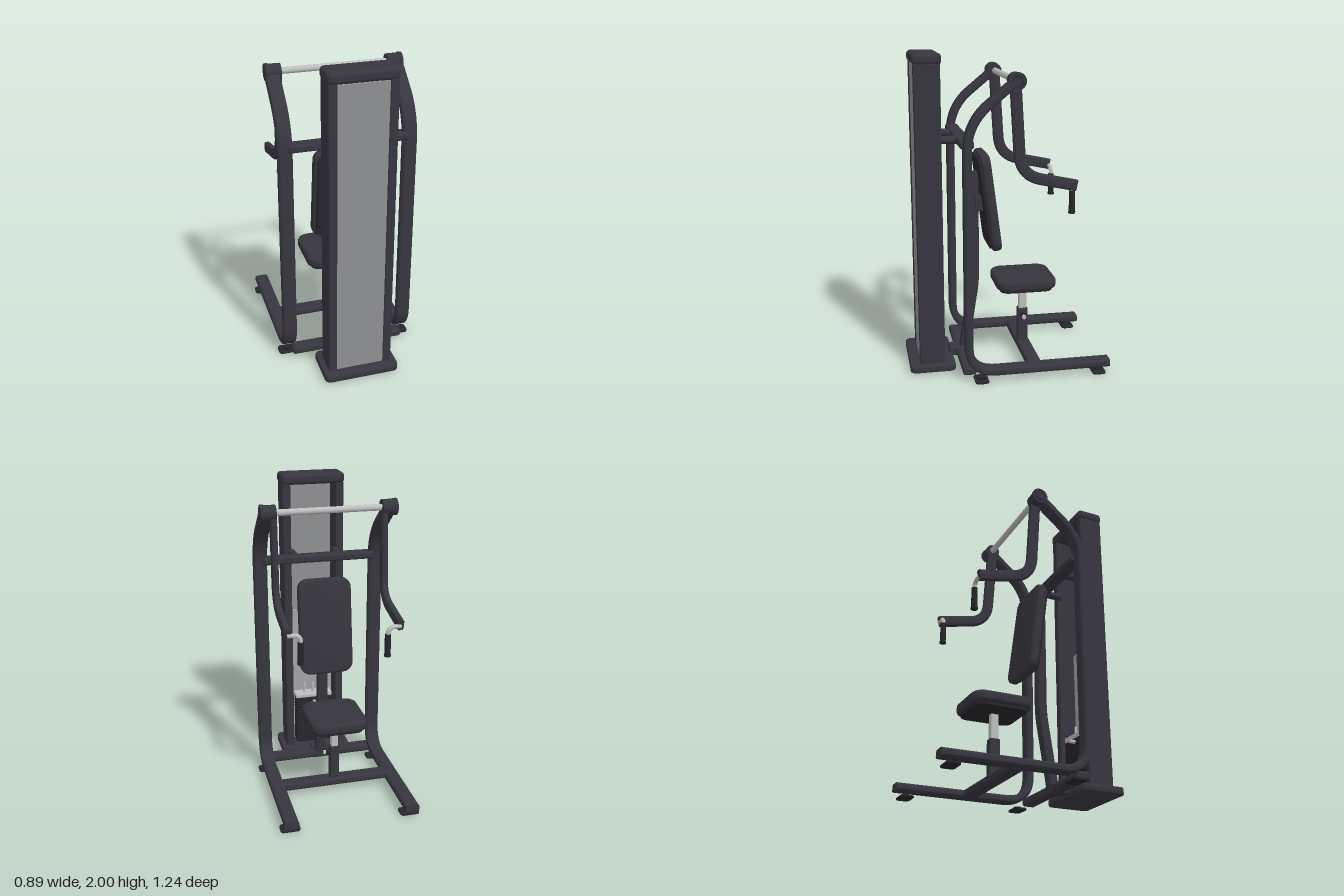
import * as THREE from 'three';
import { toCreasedNormals } from 'three/addons/utils/BufferGeometryUtils.js';
import { RoundedBoxGeometry } from 'three/addons/geometries/RoundedBoxGeometry.js';

const mat = (name, color) => {
  const m = new THREE.MeshStandardMaterial({ color });
  m.name = name;
  return m;
};

const V = (x, y, z) => new THREE.Vector3(x, y, z);

// Rectangle outline with rounded corners, centred on the origin
function roundedRect(w, h, r) {
  const s = new THREE.Shape();
  const a = w / 2, b = h / 2;
  s.moveTo(a, -b + r);
  s.lineTo(a, b - r);
  s.absarc(a - r, b - r, r, 0, Math.PI / 2);
  s.absarc(-a + r, b - r, r, Math.PI / 2, Math.PI);
  s.absarc(-a + r, -b + r, r, Math.PI, Math.PI * 1.5);
  s.absarc(a - r, -b + r, r, Math.PI * 1.5, Math.PI * 2);
  return s;
}

// Polyline whose corners are replaced by smooth bends: [point, bend distance]
function bentPath(stops) {
  const path = new THREE.CurvePath();
  let from = stops[0][0];
  for (let i = 1; i < stops.length; i++) {
    const [p, d] = stops[i];
    if (i === stops.length - 1) {
      path.add(new THREE.LineCurve3(from, p));
      break;
    }
    const start = p.clone().add(from.clone().sub(p).setLength(d));
    const end = p.clone().add(stops[i + 1][0].clone().sub(p).setLength(d));
    path.add(new THREE.LineCurve3(from, start));
    path.add(new THREE.QuadraticBezierCurve3(start, p, end));
    from = end;
  }
  return path;
}

// Rounded rectangular tube swept along a bent path
function sweep(stops, w, h, r, steps = 70) {
  const g = new THREE.ExtrudeGeometry(roundedRect(w, h, r), {
    extrudePath: bentPath(stops), steps, curveSegments: 4,
  });
  return toCreasedNormals(g, 0.7);
}

// Cushion or plate: rounded outline in xy, thickness along z, soft edges
function slab(w, h, t, r, bevel) {
  const g = new THREE.ExtrudeGeometry(roundedRect(w - 2 * bevel, h - 2 * bevel, r), {
    depth: t - 2 * bevel, bevelEnabled: true, bevelSize: bevel,
    bevelThickness: bevel, bevelSegments: 4, curveSegments: 8,
  });
  g.center();
  return toCreasedNormals(g, 0.7);
}

export function createModel() {
  const model = new THREE.Group();
  model.name = 'chestPressMachine';
  const frame = mat('charcoal frame', 0x37363f);
  const pad = mat('charcoal upholstery', 0x36353d);
  const black = mat('black rubber', 0x26262b);
  const chrome = mat('chrome', 0xbdbdbd);
  const panel = mat('grey panel', 0x8f9092);
  const pale = mat('pale panel', 0xa3a4a6);

  const add = (name, geo, m, x = 0, y = 0, z = 0, parent = model) => {
    const mesh = new THREE.Mesh(geo, m);
    mesh.name = name;
    mesh.position.set(x, y, z);
    parent.add(mesh);
    return mesh;
  };
  const box = (name, m, w, h, d, x, y, z, r = 0.008) =>
    add(name, new RoundedBoxGeometry(w, h, d, 3, r), m, x, y, z);
  const rod = (name, m, r, len, axis, x, y, z) => {
    const g = new THREE.CylinderGeometry(r, r, len, 24);
    if (axis === 'x') g.rotateZ(Math.PI / 2);
    if (axis === 'z') g.rotateX(Math.PI / 2);
    return add(name, g, m, x, y, z);
  };

  // Weight tower: base, columns, cap and panels
  const base = slab(0.48, 0.288, 0.045, 0.03, 0.008);
  base.rotateX(Math.PI / 2);
  add('towerBase', base, frame, 0, 0.032, 0.478);
  box('towerCap', frame, 0.42, 0.07, 0.176, 0, 1.965, 0.479, 0.025);
  box('frontPanel', panel, 0.31, 1.88, 0.008, 0, 0.99, 0.55, 0.002);
  box('innerPanel', pale, 0.3, 1.0, 0.006, 0, 0.55, 0.515, 0.002);

  // Weight stack with selector pin
  for (let i = 0; i < 14; i++) {
    box('weightPlate', black, 0.25, 0.02, 0.09, 0, 0.075 + i * 0.0245, 0.46, 0.003);
  }
  box('topPlate', chrome, 0.26, 0.025, 0.09, 0, 0.425, 0.46, 0.004);
  for (const x of [-0.06, 0, 0.06]) rod('stackStem', chrome, 0.008, 0.07, 'y', x, 0.47, 0.46);
  rod('selectorPin', chrome, 0.012, 0.05, 'z', 0, 0.38, 0.405);

  // Parts mirrored on both sides
  for (const s of [-1, 1]) {
    const X = s * 0.385;
    box('towerColumn', frame, 0.053, 1.9, 0.16, s * 0.177, 0.99, 0.48);
    add('sideFrame', sweep([
      [V(X, 0.065, -0.622)], [V(X, 0.065, 0.275), 0.17],
      [V(X, 1.61, 0.275), 0.17], [V(X, 1.85, -0.015)],
    ], 0.05, 0.09, 0.016, 110), frame);
    for (const z of [-0.553, 0.198]) {
      const foot = slab(0.125, 0.085, 0.012, 0.02, 0.003);
      foot.rotateX(Math.PI / 2);
      add('foot', foot, black, s * 0.385, 0.008, z);
    }
    for (const z of [-0.553, 0.198]) {
      rod('footStem', black, 0.025, 0.02, 'y', X, 0.017, z);
    }

    // Pivot hub
    rod('pivotHub', frame, 0.048, 0.085, 'x', s * 0.373, 1.85, -0.018);
    rod('pivotCap', frame, 0.052, 0.02, 'x', s * 0.415, 1.85, -0.018);
    rod('pivotCover', black, 0.034, 0.006, 'x', s * 0.425, 1.85, -0.018);
    rod('pivotBolt', frame, 0.026, 0.008, 'x', s * 0.426, 1.85, -0.018);

    // Press arm and handle
    add('pressArm', sweep([
      [V(s * 0.346, 1.85, -0.018)], [V(s * 0.346, 1.285, -0.053), 0.13],
      [V(s * 0.346, 1.212, -0.398)],
    ], 0.04, 0.07, 0.014), frame);
    add('handleBend', new THREE.TubeGeometry(bentPath([
      [V(s * 0.35, 1.205, -0.394)], [V(s * 0.268, 1.205, -0.394), 0.045],
      [V(s * 0.268, 1.15, -0.394)],
    ]), 24, 0.014, 14), chrome);
    rod('handleGrip', black, 0.019, 0.14, 'y', s * 0.268, 1.092, -0.394);
    rod('gripCollar', black, 0.022, 0.012, 'y', s * 0.268, 1.025, -0.394);

    // Tie from the frame to the tower
    rod('towerTie', frame, 0.025, 0.14, 'z', s * 0.145, 1.48, 0.35);
  }

  // Cross members
  rod('pivotBar', chrome, 0.02, 0.68, 'x', 0, 1.85, -0.022);
  box('upperCrossbar', frame, 0.74, 0.05, 0.085, 0, 1.48, 0.27, 0.016);
  box('rearCrossbar', frame, 0.74, 0.05, 0.085, 0, 0.055, 0.265, 0.016);
  box('seatCrossbar', frame, 0.74, 0.05, 0.09, 0, 0.065, -0.147, 0.016);
  box('baseLink', frame, 0.1, 0.06, 0.13, 0, 0.058, 0.29, 0.01);

  // Backrest mast and cushion
  add('backrestMast', sweep([
    [V(0, 1.25, 0.18)], [V(0, 0.53, 0.18), 0.07], [V(0, 0.07, 0.252)],
  ], 0.06, 0.07, 0.014), frame);
  const backrest = new THREE.Group();
  backrest.name = 'backrest';
  backrest.position.set(0, 1.066, 0.095);
  backrest.rotation.x = 0.13;
  model.add(backrest);
  add('backCushion', slab(0.35, 0.63, 0.06, 0.05, 0.018), pad, 0, 0, -0.006, backrest);
  add('backBoard', slab(0.31, 0.59, 0.016, 0.05, 0.004), black, 0, 0, 0.03, backrest);
  box('backBracket', frame, 0.1, 0.1, 0.06, 0, 1.05, 0.145);

  // Seat and adjustable post
  const seat = slab(0.37, 0.39, 0.068, 0.06, 0.02);
  seat.rotateX(Math.PI / 2);
  add('seatCushion', seat, pad, 0, 0.525, -0.143);
  const board = slab(0.32, 0.34, 0.022, 0.05, 0.004);
  board.rotateX(Math.PI / 2);
  add('seatBoard', board, black, 0, 0.485, -0.143);
  box('seatPostSleeve', frame, 0.06, 0.24, 0.066, 0, 0.2, -0.142);
  box('seatPost', chrome, 0.045, 0.19, 0.05, 0, 0.39, -0.142);
  rod('adjusterCollar', black, 0.022, 0.03, 'x', 0.04, 0.27, -0.142);
  rod('adjusterKnob', chrome, 0.014, 0.03, 'x', 0.055, 0.27, -0.142);

  return model;
}
